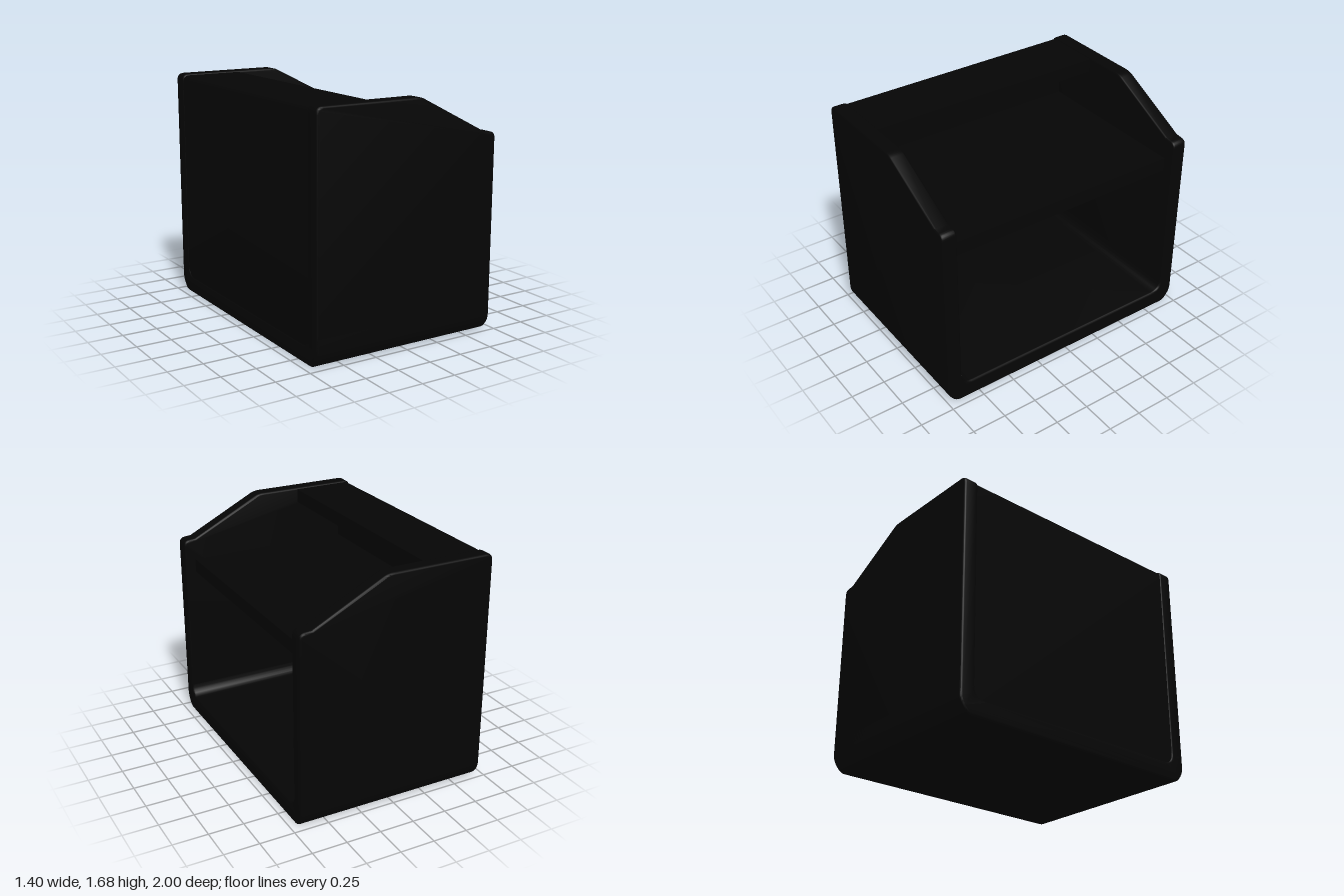
import * as THREE from 'three';
import { toCreasedNormals } from 'three/addons/utils/BufferGeometryUtils.js';

const black = new THREE.MeshStandardMaterial({ color: 0x050505 });
black.name = 'black';

// Extrudes a shape to a centred total depth, with slightly rounded end edges.
function slab(shape, depth, bevel) {
  const g = new THREE.ExtrudeGeometry(shape, {
    depth: depth - 2 * bevel, bevelEnabled: bevel > 0, bevelThickness: bevel,
    bevelSize: bevel, bevelOffset: -bevel, bevelSegments: 3, curveSegments: 6,
  });
  g.translate(0, 0, -depth / 2 + bevel);
  return toCreasedNormals(g, 0.6);
}

function addPart(group, name, geometry) {
  const mesh = new THREE.Mesh(geometry, black);
  mesh.name = name;
  group.add(mesh);
  return mesh;
}

export function createModel() {
  const group = new THREE.Group();
  group.name = 'displayCounter';

  // Side panels: tall at the back, sloping down to a small rounded nose
  const side = new THREE.Shape();
  side.moveTo(-0.7, 0.13);
  side.lineTo(0.7, 0.13);
  side.lineTo(0.7, 1.36);
  side.quadraticCurveTo(0.7, 1.4, 0.66, 1.405);
  side.lineTo(0.61, 1.41);
  side.lineTo(0.11, 1.665);
  side.quadraticCurveTo(0.08, 1.68, 0.04, 1.68);
  side.lineTo(-0.65, 1.68);
  side.quadraticCurveTo(-0.7, 1.68, -0.7, 1.63);
  side.closePath();
  const sideGeometry = slab(side, 0.11, 0.015);
  for (const [name, z] of [['rightSidePanel', -0.945], ['leftSidePanel', 0.945]]) {
    addPart(group, name, sideGeometry).position.z = z;
  }

  // Base tray: rounded outer corners and filleted inner corners
  const tray = new THREE.Shape();
  tray.moveTo(-0.9, 0);
  tray.lineTo(0.9, 0);
  tray.quadraticCurveTo(0.94, 0, 0.965, 0.035);
  tray.quadraticCurveTo(1, 0.075, 1, 0.12);
  tray.lineTo(1, 0.21);
  tray.lineTo(0.89, 0.21);
  tray.quadraticCurveTo(0.89, 0.125, 0.81, 0.125);
  tray.lineTo(-0.81, 0.125);
  tray.quadraticCurveTo(-0.89, 0.125, -0.89, 0.21);
  tray.lineTo(-1, 0.21);
  tray.lineTo(-1, 0.12);
  tray.quadraticCurveTo(-1, 0.075, -0.965, 0.035);
  tray.quadraticCurveTo(-0.94, 0, -0.9, 0);
  addPart(group, 'baseTray', slab(tray, 1.4, 0.015)).rotation.y = Math.PI / 2;

  // Back wall and top cover in one bent section
  const back = new THREE.Shape();
  back.moveTo(-0.695, 0.06);
  back.lineTo(-0.6, 0.06);
  back.lineTo(-0.6, 1.57);
  back.lineTo(-0.24, 1.57);
  back.lineTo(-0.24, 1.67);
  back.lineTo(-0.65, 1.67);
  back.quadraticCurveTo(-0.695, 1.67, -0.695, 1.625);
  back.closePath();
  addPart(group, 'backWallAndTopCover', slab(back, 1.8, 0));

  // Counter shelf, set back from the open side
  const shelf = addPart(group, 'counterShelf', new THREE.BoxGeometry(1.24, 0.1, 1.8));
  shelf.position.set(0, 1.2, 0);

  return group;
}
